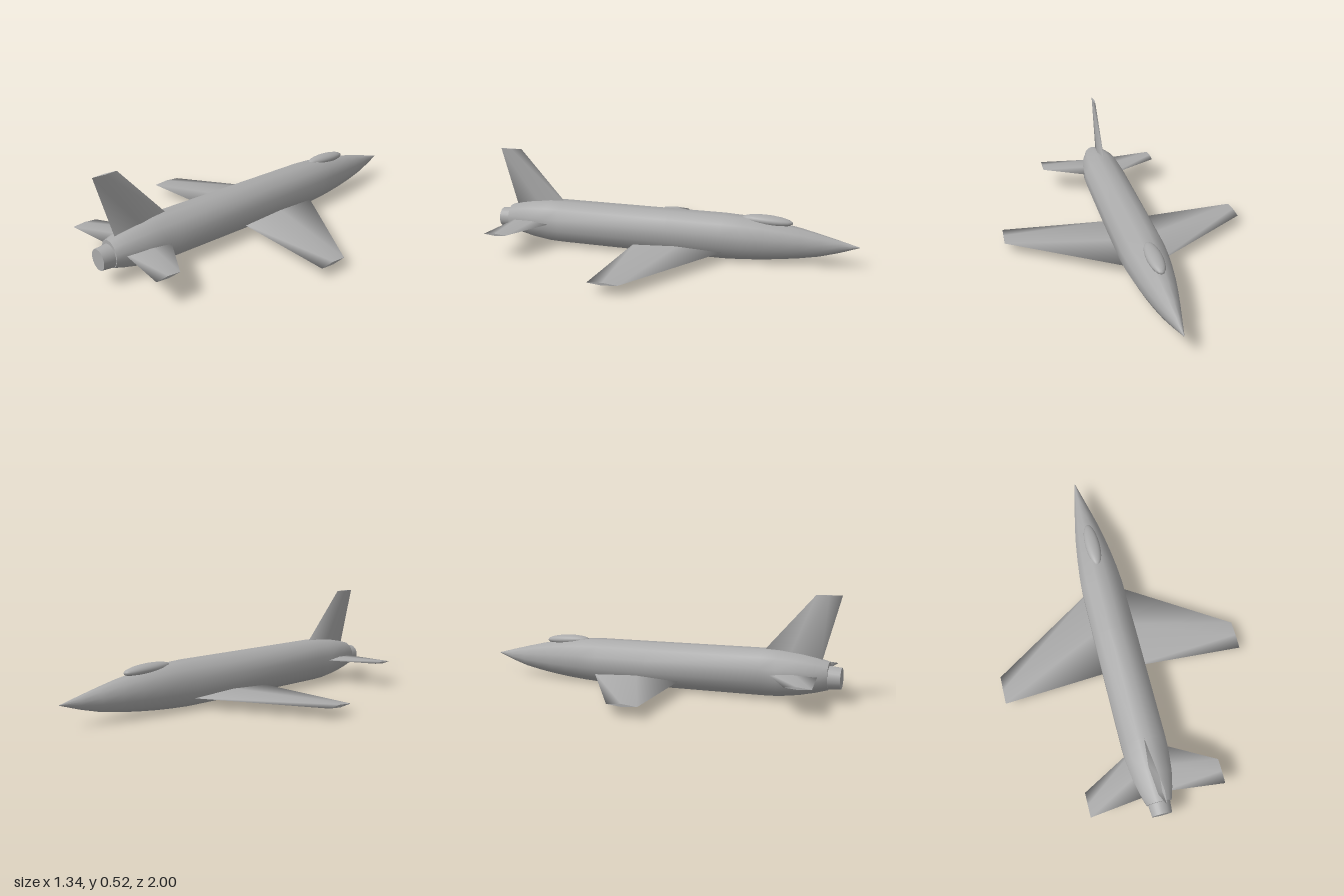
import * as THREE from 'three';

// Skin through closed cross-sections (arrays of [x, y, z]), with flat caps at both ends.
function loft(sections) {
  const n = sections[0].length, last = sections.length - 1;
  const pos = sections.flat(2), index = [];
  for (let i = 0; i < last; i++) {
    for (let k = 0; k < n; k++) {
      const a = i * n + k, b = i * n + (k + 1) % n;
      index.push(a, b, a + n, b, b + n, a + n);
    }
  }
  for (const [section, atEnd] of [[sections[0], false], [sections[last], true]]) {
    const base = pos.length / 3;
    pos.push(...section.flat());
    for (let k = 1; k < n - 1; k++) {
      if (atEnd) index.push(base, base + k, base + k + 1);
      else index.push(base, base + k + 1, base + k);
    }
  }
  const geo = new THREE.BufferGeometry();
  geo.setAttribute('position', new THREE.Float32BufferAttribute(pos, 3));
  geo.setIndex(index);
  geo.computeVertexNormals();
  return geo;
}

// Diamond-section flying surface; root and tip are [span, leading z, trailing z, thickness].
function blade(root, tip, side = 1) {
  const section = ([x, lead, trail, t]) => {
    const ridge = lead + (trail - lead) * 0.5;
    return [[x * side, 0, lead], [x * side, t / 2, ridge], [x * side, 0, trail], [x * side, -t / 2, ridge]];
  };
  return loft(side > 0 ? [section(root), section(tip)] : [section(tip), section(root)]);
}

export function createModel() {
  const model = new THREE.Group();
  model.name = 'jetAircraft';
  const grey = new THREE.MeshStandardMaterial({ color: 0xaaaaaa });
  grey.name = 'airframeGrey';

  const add = (name, geo, x = 0, y = 0, z = 0) => {
    const mesh = new THREE.Mesh(geo, grey);
    mesh.name = name;
    mesh.position.set(x, y, z);
    model.add(mesh);
    return mesh;
  };

  // Fuselage stations: z, half width, bottom y, top y
  const stations = [
    [-1, 0.001, 0.114, 0.116], [-0.9, 0.024, 0.08, 0.142], [-0.8, 0.047, 0.053, 0.167],
    [-0.7, 0.068, 0.036, 0.19], [-0.6, 0.086, 0.023, 0.208], [-0.5, 0.1, 0.013, 0.223],
    [-0.4, 0.111, 0.006, 0.233], [-0.3, 0.118, 0.002, 0.238], [0, 0.12, 0.004, 0.24],
    [0.62, 0.12, 0.012, 0.245], [0.7, 0.117, 0.015, 0.243], [0.8, 0.105, 0.029, 0.232],
    [0.88, 0.086, 0.047, 0.216], [0.94, 0.066, 0.064, 0.199],
  ];
  const sides = 12, flat = Math.cos(Math.PI / sides);
  add('fuselage', loft(stations.map(([z, w, bottom, top]) =>
    Array.from({ length: sides }, (_, k) => {
      const a = (k + 0.5) / sides * Math.PI * 2;
      return [Math.cos(a) * w / flat ** 0.5, (bottom + top) / 2 + Math.sin(a) * (top - bottom) / 2 / flat, z];
    }))));

  // Canopy blister
  const canopy = add('canopy', new THREE.SphereGeometry(1, 20, 14), 0, 0.222, -0.525);
  canopy.scale.set(0.041, 0.028, 0.134);
  canopy.rotation.x = -0.05;

  // Exhaust nozzle
  const nozzle = new THREE.CylinderGeometry(0.053, 0.06, 0.08, 24);
  nozzle.rotateX(Math.PI / 2);
  add('exhaustNozzle', nozzle, 0, 0.123, 0.96);

  // Main wings and tailplanes, mirrored left and right
  for (const [label, side] of [['left', 1], ['right', -1]]) {
    add(label + 'Wing', blade([0.05, -0.334, 0.181, 0.033], [0.67, 0.065, 0.22, 0.014], side), 0, 0.056, 0);
    add(label + 'Tailplane', blade([0.03, 0.624, 0.89, 0.02], [0.357, 0.8, 0.927, 0.012], side), 0, 0.134, 0);
  }

  // Upright tail fin
  add('tailFin', blade([0.17, 0.555, 0.895, 0.034], [0.525, 0.865, 0.99, 0.013])).rotation.z = Math.PI / 2;

  return model;
}
